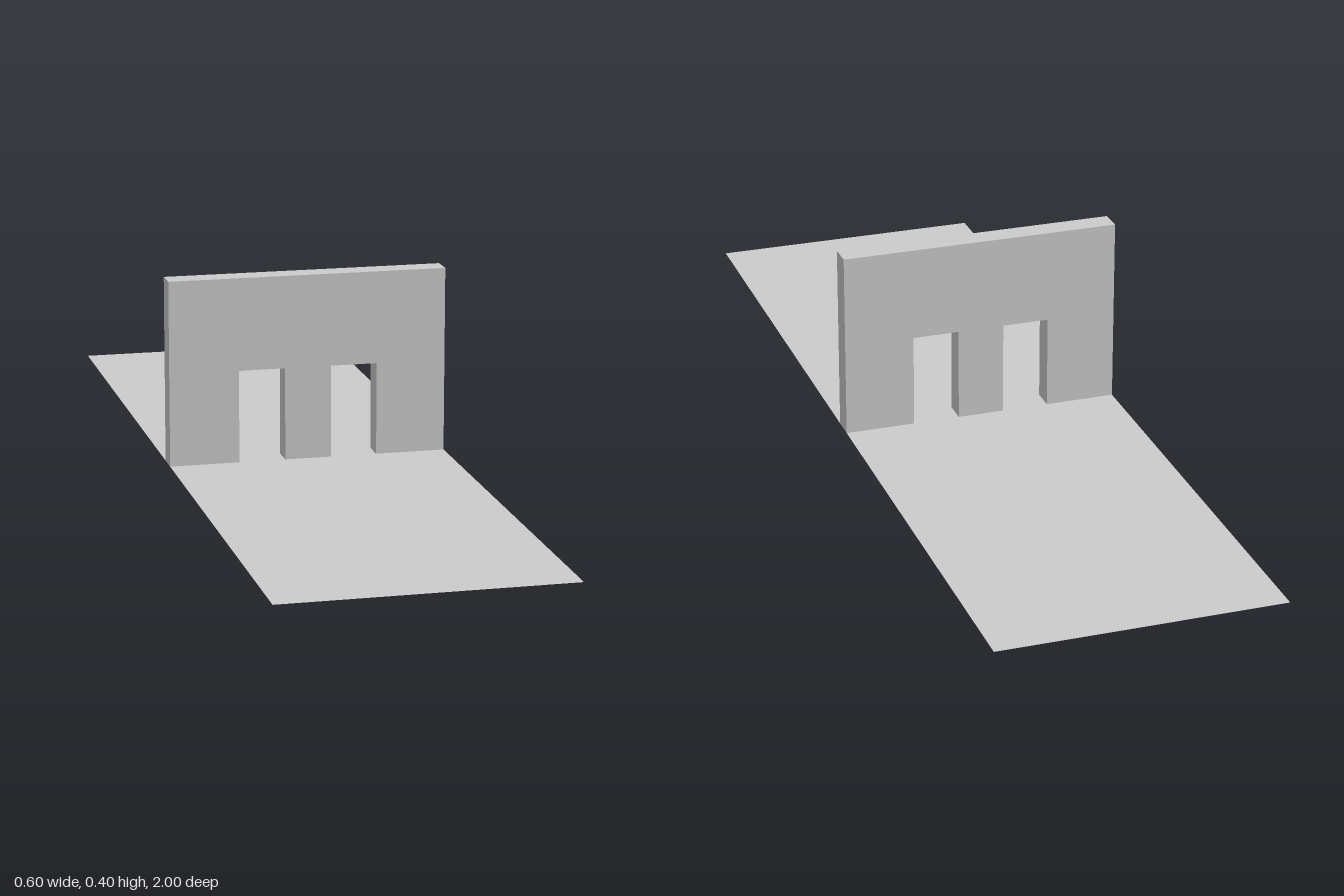
import * as THREE from 'three';

const WIDTH = 0.6, LENGTH = 2, HEIGHT = 0.4, THICKNESS = 0.05;
const DOOR_WIDTH = 0.1, DOOR_HEIGHT = 0.2, DOOR_CENTERS = [-0.1, 0.1];

export function createModel() {
  const group = new THREE.Group();
  group.name = 'wallWithDoorways';

  // Paper-thin floor strip, seen from both sides
  const floor = new THREE.Mesh(
    new THREE.PlaneGeometry(WIDTH, LENGTH).rotateX(-Math.PI / 2),
    new THREE.MeshStandardMaterial({ color: 0xcccccc, side: THREE.DoubleSide })
  );
  floor.name = 'floor';
  group.add(floor);

  // Upright wall: outline with two doorways notched into the bottom edge
  const outline = new THREE.Shape();
  outline.moveTo(-WIDTH / 2, 0);
  for (const x of DOOR_CENTERS) {
    const left = x - DOOR_WIDTH / 2, right = x + DOOR_WIDTH / 2;
    outline.lineTo(left, 0);
    outline.lineTo(left, DOOR_HEIGHT);
    outline.lineTo(right, DOOR_HEIGHT);
    outline.lineTo(right, 0);
  }
  outline.lineTo(WIDTH / 2, 0);
  outline.lineTo(WIDTH / 2, HEIGHT);
  outline.lineTo(-WIDTH / 2, HEIGHT);
  outline.closePath();

  const wall = new THREE.Mesh(
    new THREE.ExtrudeGeometry(outline, { depth: THICKNESS, bevelEnabled: false })
      .translate(0, 0, -THICKNESS / 2),
    new THREE.MeshStandardMaterial({ color: 0xcccccc })
  );
  wall.name = 'wall';
  group.add(wall);

  return group;
}
